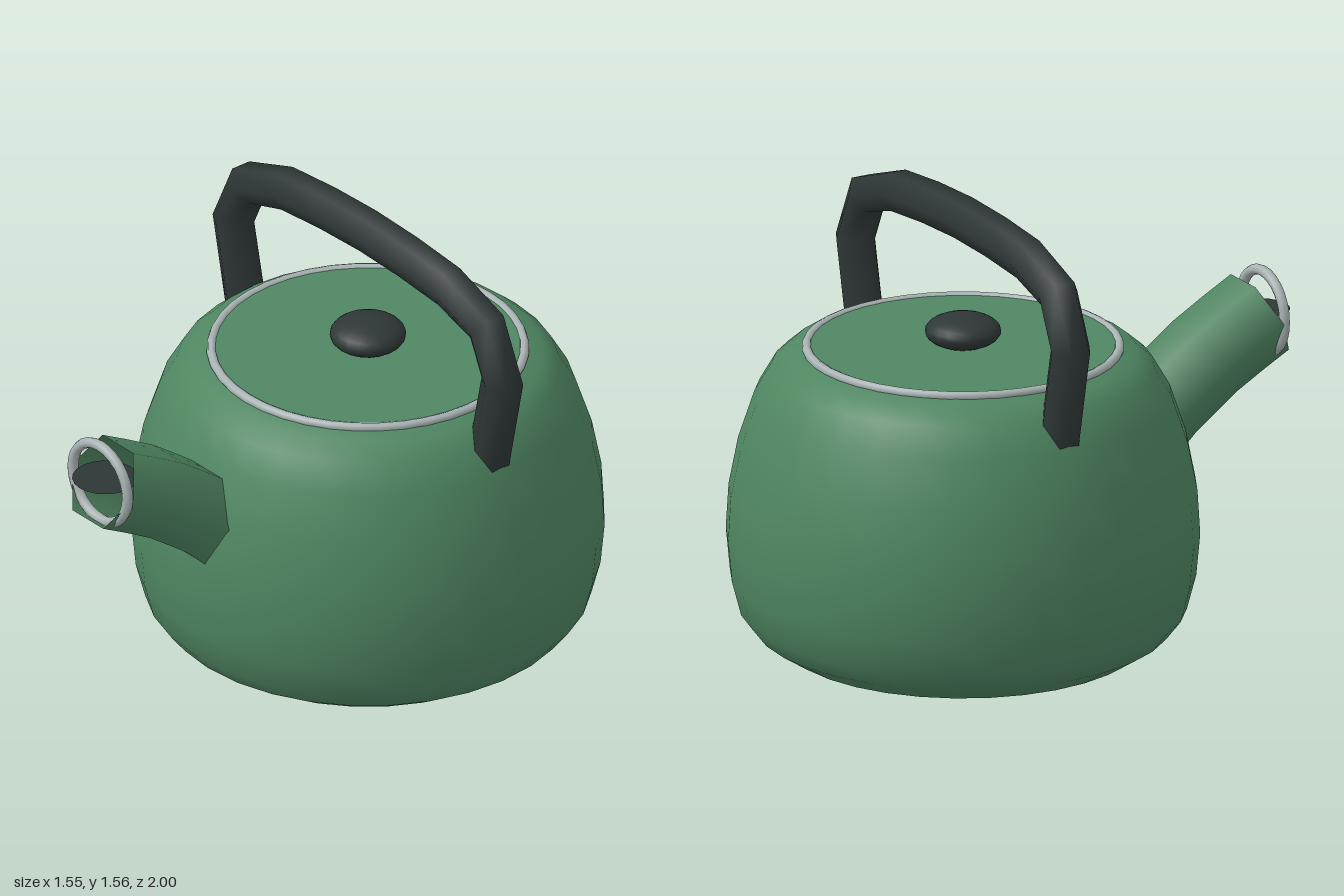
import * as THREE from 'three';

const GREEN = 0x4f8662, DARK = 0x2e3736, STEEL = 0xaab4b4;
const CZ = -0.225; // body axis

// Curve whose equal steps fall exactly on the given points
class NodeCurve extends THREE.Curve {
  constructor(points) {
    super();
    this.points = points;
  }
  getPointAt(u, target = new THREE.Vector3()) {
    return target.copy(this.points[Math.round(u * (this.points.length - 1))]);
  }
  getTangentAt(u, target = new THREE.Vector3()) {
    const p = this.points, n = p.length - 1, i = Math.round(u * n);
    return target.subVectors(p[Math.min(i + 1, n)], p[Math.max(i - 1, 0)]).normalize();
  }
}

const tube = (points, radius, sides) =>
  new THREE.TubeGeometry(new NodeCurve(points), points.length - 1, radius, sides);

export function createModel() {
  const kettle = new THREE.Group();
  kettle.name = 'kettle';

  function add(name, geometry, color, x, y, z, side = THREE.FrontSide) {
    const mesh = new THREE.Mesh(geometry, new THREE.MeshStandardMaterial({ color, side }));
    mesh.name = name;
    mesh.position.set(x, y, z);
    kettle.add(mesh);
    return mesh;
  }

  // Rounded body
  const profile = [
    [0, 0], [0.36, 0.002], [0.47, 0.01], [0.585, 0.04], [0.68, 0.1], [0.73, 0.165],
    [0.76, 0.28], [0.773, 0.42], [0.764, 0.57], [0.733, 0.73], [0.68, 0.89],
    [0.625, 0.985], [0.57, 1.033], [0.5, 1.053],
  ].map(([r, y]) => new THREE.Vector2(r, y));
  add('body', new THREE.LatheGeometry(profile, 32), GREEN, 0, 0, CZ);

  // Lid with rim and knob
  add('lid', new THREE.CylinderGeometry(0.505, 0.505, 0.03, 32), GREEN, 0, 1.045, CZ);
  add('lidRim', new THREE.TorusGeometry(0.51, 0.016, 8, 40), STEEL, 0, 1.053, CZ)
    .rotation.x = Math.PI / 2;
  add('lidKnob', new THREE.SphereGeometry(0.125, 20, 14), DARK, 0, 1.107, CZ)
    .scale.y = 0.45;

  // Arched handle, mirrored about the middle
  const half = [[0.602, 0.87], [0.68, 1.235], [0.602, 1.405], [0.41, 1.47], [0.205, 1.488]];
  const arch = [
    ...half.map(([x, y]) => new THREE.Vector3(-x, y, 0)),
    new THREE.Vector3(0, 1.495, 0),
    ...half.map(([x, y]) => new THREE.Vector3(x, y, 0)).reverse(),
  ];
  add('handle', tube(arch, 0.072, 6), DARK, 0, 0, CZ, THREE.DoubleSide);

  // Open spout
  const spine = [
    [0.55, 0.34], [0.65, 0.435], [0.735, 0.525], [0.795, 0.605], [0.86, 0.695],
    [0.92, 0.8], [0.975, 0.902],
  ].map(([y, z]) => new THREE.Vector3(0, y, z));
  add('spout', tube(spine, 0.155, 6), GREEN, 0, 0, 0, THREE.DoubleSide);

  // Ring and flap at the mouth
  add('spoutRing', new THREE.TorusGeometry(0.138, 0.018, 8, 28), STEEL, 0, 0.977, 0.913);
  add('spoutFlap', new THREE.CircleGeometry(0.108, 20), DARK, 0, 0.988, 0.892, THREE.DoubleSide)
    .rotation.x = -Math.PI / 2;

  return kettle;
}
